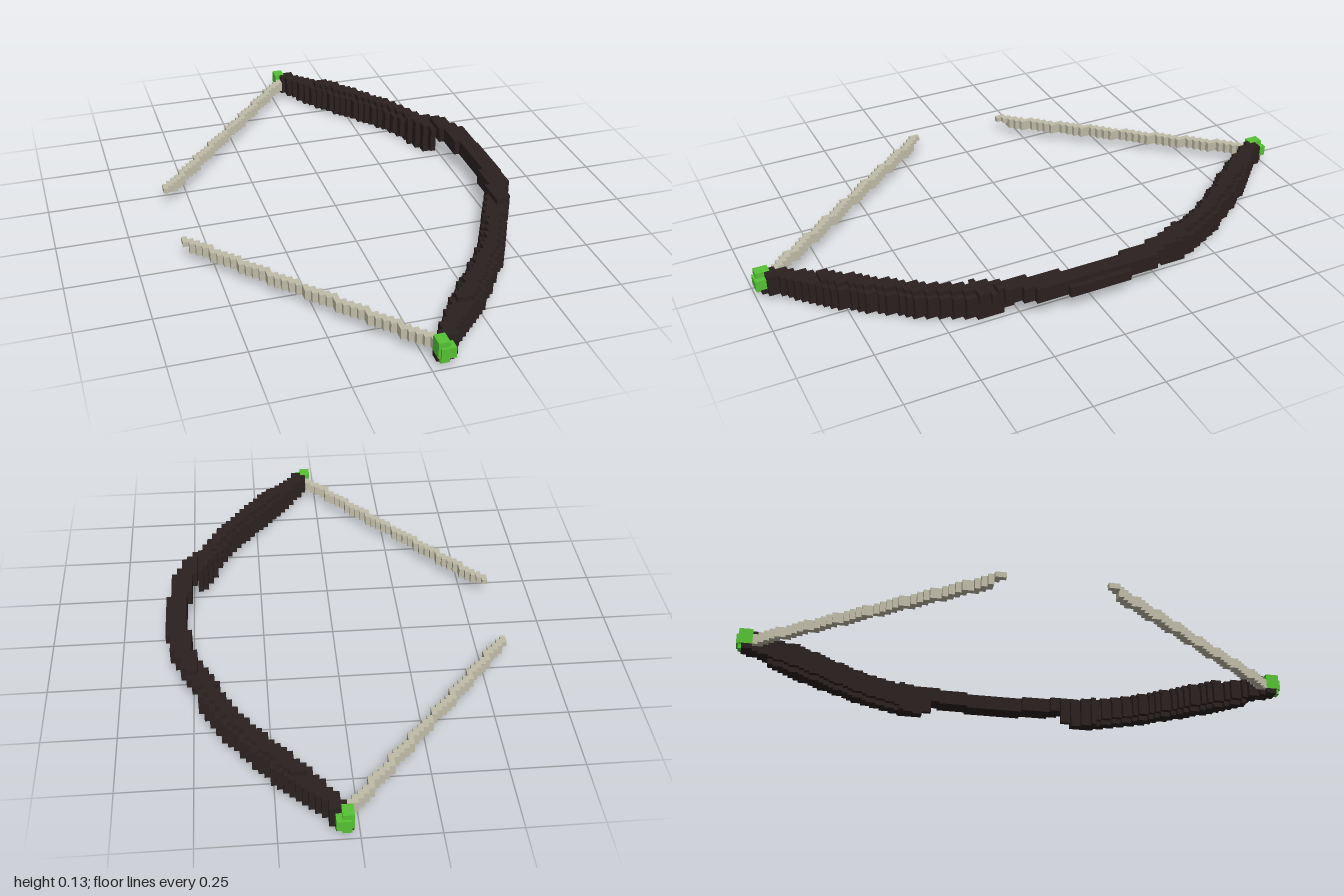
import * as THREE from 'three';
import { mergeGeometries } from 'three/addons/utils/BufferGeometryUtils.js';

const V = 2 / 108; // size of one block

// Box from block coordinates; z is mirrored by side (+1 front, -1 back)
function block(list, side, x0, x1, y0, y1, z0, z1) {
  if (x1 <= x0 || y1 <= y0) return;
  const g = new THREE.BoxGeometry((x1 - x0) * V, (y1 - y0) * V, (z1 - z0) * V);
  g.translate((x0 + x1) / 2 * V, (y0 + y1) / 2 * V, side * (z0 + z1) / 2 * V);
  list.push(g);
}

// Piecewise linear lookup in [row, value] points
function along(points, t) {
  for (let i = 1; i < points.length; i++) {
    const [a, va] = points[i - 1], [b, vb] = points[i];
    if (t <= b) return va + (vb - va) * (t - a) / (b - a);
  }
  return points[points.length - 1][1];
}

const OUTER = [[12, 30.4], [16, 28.8], [21.5, 26.3], [27, 23.8], [32, 20.6], [43, 12.5], [51, 5], [54, 3]];
const INNER = [[12, 26.4], [16, 24.4], [21.5, 22], [27, 19.2], [32, 15.5], [43, 7], [51, 1.6], [54, 1]];

export function createModel() {
  const wood = new THREE.MeshStandardMaterial({ color: 0x2b2020 });
  wood.name = 'darkWood';
  const cord = new THREE.MeshStandardMaterial({ color: 0xc0bca8 });
  cord.name = 'paleCord';
  const green = new THREE.MeshStandardMaterial({ color: 0x55c233 });
  green.name = 'greenBinding';

  const group = new THREE.Group();
  group.name = 'bow';
  const add = (name, list, material) => {
    const mesh = new THREE.Mesh(mergeGeometries(list), material);
    mesh.name = name;
    group.add(mesh);
  };

  // Raised grip in the middle
  const grip = [];
  for (const s of [1, -1]) {
    block(grip, s, 28, 32, 4, 6, 0, 6);
    block(grip, s, 28, 31, 6, 7, 0, 6);
    block(grip, s, 27, 31, 4, 7, 6, 12);
  }
  add('grip', grip, wood);

  for (const s of [1, -1]) {
    const end = s > 0 ? 'front' : 'back';

    // Curved limb, one slice per row of blocks
    const limb = [];
    for (let j = 12; j < 51; j++) {
      const a = Math.round(along(INNER, j + 0.5));
      const b = Math.round(along(OUTER, j + 0.5));
      const top = j < 44 ? 6 : 5;
      const ramp = [3, 2, 1, 1][j - 12] ?? (j < 48 ? 0 : 1);
      if (b > 26) {
        // stepped joint: only the upper blocks reach out to the grip
        block(limb, s, a, b, 4, 6, j, j + 1);
        block(limb, s, a, 26, ramp, 4, j, j + 1);
        if (j < 18) block(limb, s, Math.max(a, 26), b, 6, 7, j, j + 1);
      } else {
        block(limb, s, a, b, 1, 5, j, j + 1);
        block(limb, s, a + 1, b - 1, ramp, top, j, j + 1);
      }
    }
    block(limb, s, 3, 5, 1, 5, 51, 52);
    block(limb, s, 1, 4, 1, 2, 51, 53);
    add(end + 'Limb', limb, wood);

    // Binding at the tip
    const tip = [];
    block(tip, s, 1, 3, 2, 5, 51, 53);
    block(tip, s, 1.4, 3, 1, 2, 53, 53.6);
    block(tip, s, 3, 4, 2, 4, 52, 54);
    block(tip, s, 1, 3, 2, 5, 53, 53.6);
    block(tip, s, 1.4, 3, 2, 4, 53.6, 54);
    add(end + 'Tip', tip, green);

    // Drawn string, stepping from the tip towards the nock
    const string = [];
    const path = [[9, -32], [51, 2]];
    for (let j = 9; j < 51; j++) {
      const x0 = Math.floor(along(path, j) + 1e-6);
      const x1 = Math.ceil(along(path, j + 1) - 1e-6);
      block(string, s, x0, x1, j < 11 ? 3 : 2, 4, j, j + 1);
    }
    add(end + 'String', string, cord);
  }
  return group;
}
